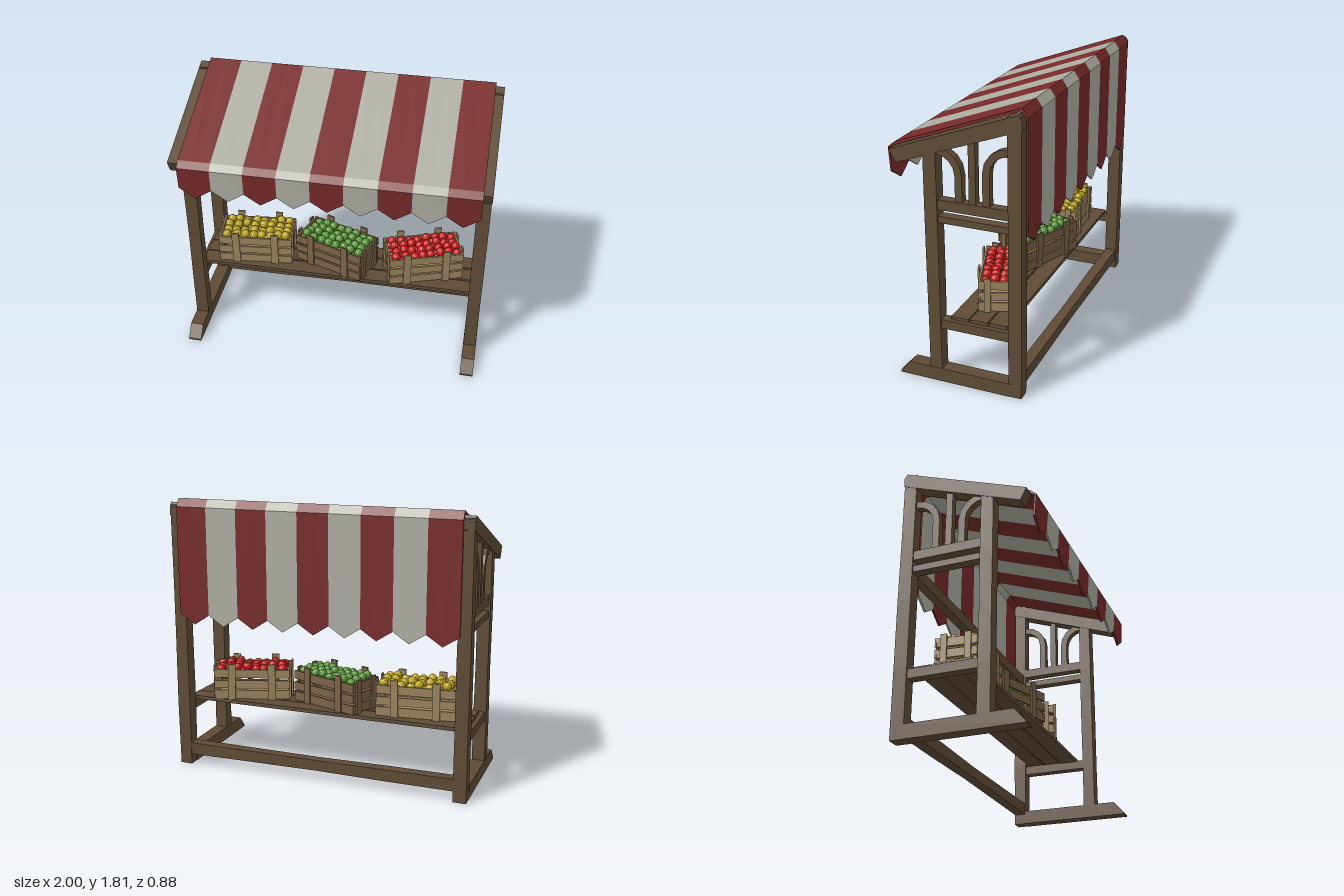
import * as THREE from 'three';

const mat = (color, side = THREE.FrontSide) =>
  new THREE.MeshStandardMaterial({ color, flatShading: true, side });
const WOOD = mat(0x5e4b36);
const PALE = mat(0x9a835f);
const BROWN = mat(0x7a6146);
const RED = mat(0x762a2a, THREE.DoubleSide);
const WHITE = mat(0xacaca2, THREE.DoubleSide);

// Small seeded generator for hand-made irregularity
let seed = 7;
const rnd = () => {
  seed = (seed * 16807) % 2147483647;
  return seed / 2147483647 - 0.5;
};

function add(parent, name, geometry, material, x = 0, y = 0, z = 0) {
  const m = new THREE.Mesh(geometry, material);
  m.name = name;
  m.position.set(x, y, z);
  parent.add(m);
  return m;
}

// Box given by its ranges
function box(parent, name, material, [x0, x1], [y0, y1], [z0, z1]) {
  return add(parent, name, new THREE.BoxGeometry(x1 - x0, y1 - y0, z1 - z0), material,
    (x0 + x1) / 2, (y0 + y1) / 2, (z0 + z1) / 2);
}

// Rough-hewn beam: box whose cross-section swells and shrinks along its length
function hewn(parent, name, axis, size, pos, amount = 0.08) {
  const seg = [1, 1, 1];
  seg[axis] = 4;
  const g = new THREE.BoxGeometry(...size, ...seg);
  const p = g.attributes.position;
  const scale = [0, 1, 2, 3, 4].map(() => 1 + rnd() * amount);
  for (let i = 0; i < p.count; i++) {
    const t = Math.round((p.getComponent(i, axis) / size[axis] + 0.5) * 4);
    for (let k = 0; k < 3; k++) if (k !== axis) p.setComponent(i, k, p.getComponent(i, k) * scale[t]);
  }
  g.computeVertexNormals();
  return add(parent, name, g, WOOD, ...pos);
}

// Outline of [z, y] points extruded along x
function sideShape(parent, name, pts, width, x) {
  const shape = new THREE.Shape(pts.map(([z, y]) => new THREE.Vector2(z, y)));
  const g = new THREE.ExtrudeGeometry(shape, { depth: width, bevelEnabled: false });
  g.translate(0, 0, -width / 2).rotateY(-Math.PI / 2);
  return add(parent, name, g, WOOD, x);
}

// Curved brace: upright that bends over in an arc to meet a post
function brace(parent, zIn, zPost, yTop, x) {
  const dir = Math.sign(zPost - zIn), r = Math.abs(zPost - zIn), t = 0.045;
  const outer = [], inner = [];
  for (let i = 0; i <= 4; i++) {
    const a = (i / 4) * Math.PI / 2;
    const c = Math.cos(a), s = Math.sin(a);
    outer.push([zPost - dir * r * c, yTop - r + r * s]);
    inner.push([zPost - dir * (r - t) * c, yTop - r + (r - t) * s]);
  }
  sideShape(parent, 'curvedBrace',
    [[zIn, 1.2], ...outer, ...inner.reverse(), [zIn + dir * t, 1.2]], 0.05, x);
}

function sideFrame(s) {
  const g = new THREE.Group();
  g.name = s > 0 ? 'leftFrame' : 'rightFrame';
  const x = s * 0.955, w = 0.084;
  hewn(g, 'backPost', 1, [w, 1.77, 0.084], [x, 0.885, -0.375]);
  hewn(g, 'frontPost', 1, [w, 1.49, 0.08], [x, 0.765, 0.15]);
  sideShape(g, 'foot', [[0.4, 0], [0.4, 0.012], [0.33, 0.09], [-0.35, 0.09], [-0.35, 0]], 0.088, x);
  sideShape(g, 'rafter', [[0.405, 1.49], [0.365, 1.41], [-0.35, 1.672], [-0.42, 1.7],
    [-0.42, 1.755], [-0.4, 1.785]], 0.09, x);
  const span = [-0.34, 0.12], xr = [x - 0.032, x + 0.032];
  box(g, 'shelfRail', WOOD, xr, [0.37, 0.43], span);
  box(g, 'thinRail', WOOD, xr, [1.07, 1.112], span);
  box(g, 'upperRail', WOOD, xr, [1.152, 1.215], span);
  box(g, 'mullion', WOOD, [x - 0.025, x + 0.025], [1.2, 1.6], [-0.13, -0.087]);
  brace(g, -0.045, 0.115, 1.535, x);
  brace(g, -0.172, -0.335, 1.575, x);
  return g;
}

// One awning stripe: the side profile swept over three columns, middle dipping to a point
const OUTER = [[0.432, 1.33], [0.442, 1.48], [0.4, 1.515], [-0.4, 1.812], [-0.437, 1.76], [-0.437, 1.06]];
const INNER = [[0.42, 1.33], [0.43, 1.475], [0.395, 1.497], [-0.395, 1.792], [-0.425, 1.752], [-0.425, 1.06]];
function stripe(x0, x1) {
  const ring = [...OUTER, ...[...INNER].reverse()], n = ring.length;
  const pos = [], index = [];
  [x0, (x0 + x1) / 2, x1].forEach((x, c) => ring.forEach(([z, y], i) => {
    const end = [0, 5, 6, 11].includes(i);
    pos.push(x, y - (end && c === 1 ? 0.068 : 0), z);
  }));
  for (let c = 0; c < 2; c++) {
    for (let i = 0; i < n; i++) {
      const a = c * n + i, b = c * n + (i + 1) % n;
      index.push(a, a + n, b, b, a + n, b + n);
    }
  }
  // Cloth edges
  for (let i = 0; i < 5; i++) {
    const j = n - 1 - i, k = 2 * n;
    index.push(i, i + 1, j, i + 1, j - 1, j, k + i, k + j, k + i + 1, k + i + 1, k + j, k + j - 1);
  }
  const g = new THREE.BufferGeometry();
  g.setAttribute('position', new THREE.Float32BufferAttribute(pos, 3));
  g.setIndex(index);
  g.computeVertexNormals();
  return g;
}

// Slatted crate filled with fruit
function crate(name, x, turn, wood, fruitColor) {
  const g = new THREE.Group();
  g.name = name;
  g.position.set(x, 0.455, -0.12);
  g.rotation.y = turn;
  const w = 0.245, d = 0.125, t = 0.012;
  box(g, 'crateFloor', wood, [-w, w], [0, 0.012], [-d, d]);
  for (const s of [-1, 1]) {
    for (const [y0, y1] of [[0.004, 0.062], [0.076, 0.13], [0.148, 0.205]]) {
      const tilt = rnd() * 0.015;
      add(g, 'longSlat', new THREE.BoxGeometry(2 * w + 0.02, y1 - y0, t), wood,
        0, (y0 + y1) / 2, s * d).rotation.z = tilt;
      add(g, 'shortSlat', new THREE.BoxGeometry(t, y1 - y0, 2 * d), wood,
        s * w, (y0 + y1) / 2, 0).rotation.x = tilt;
    }
    for (const k of [-1, 1]) {
      add(g, 'longBatten', new THREE.BoxGeometry(0.05, 0.245, t), wood,
        k * 0.135, 0.1225, s * (d + t)).rotation.z = rnd() * 0.04;
      add(g, 'shortBatten', new THREE.BoxGeometry(t, 0.225, 0.04), wood,
        s * (w + t), 0.1125, k * 0.075);
    }
  }
  // Two loose layers of fruit
  const fruitMat = mat(fruitColor);
  const ball = new THREE.IcosahedronGeometry(0.03, 1);
  for (let layer = 0; layer < 2; layer++) {
    for (let i = 0; i < 8; i++) {
      for (let j = 0; j < 4; j++) {
        const off = layer ? 0.008 : -0.008;
        add(g, 'fruit', ball, fruitMat, -0.205 + i * 0.0585 + off + rnd() * 0.014,
          0.165 + layer * 0.04 + rnd() * 0.024, -0.086 + j * 0.057 + rnd() * 0.014)
          .rotation.set(rnd() * 3, rnd() * 3, 0);
      }
    }
  }
  return g;
}

export function createModel() {
  const root = new THREE.Group();
  root.name = 'marketStall';

  root.add(sideFrame(1), sideFrame(-1));

  // Long beams joining the back posts
  hewn(root, 'lowerBackBeam', 0, [1.86, 0.075, 0.07], [0, 0.11, -0.375], 0.16);
  hewn(root, 'upperBackBeam', 0, [1.86, 0.075, 0.06], [0, 1.12, -0.375]);

  // Shelf planks
  for (let i = 0; i < 3; i++) {
    const z = 0 - i * 0.125;
    const plank = box(root, 'shelfPlank', WOOD, [-0.96, 0.96], [0.428, 0.453], [z - 0.057, z + 0.057]);
    plank.rotation.z = (i - 1) * 0.004;
  }

  // Striped awning
  const awning = new THREE.Group();
  awning.name = 'awning';
  const step = 1.877 / 9;
  for (let i = 0; i < 9; i++) {
    const x0 = -0.932 + i * step;
    add(awning, i % 2 ? 'whiteStripe' : 'redStripe', stripe(x0, x0 + step), i % 2 ? WHITE : RED);
  }
  root.add(awning);

  // Produce
  root.add(
    crate('yellowFruitCrate', -0.6, 0.1, PALE, 0xc2a81e),
    crate('greenFruitCrate', -0.03, -0.35, BROWN, 0x5f9a3c),
    crate('redFruitCrate', 0.57, 0.32, PALE, 0xcc1f1f),
  );
  return root;
}
